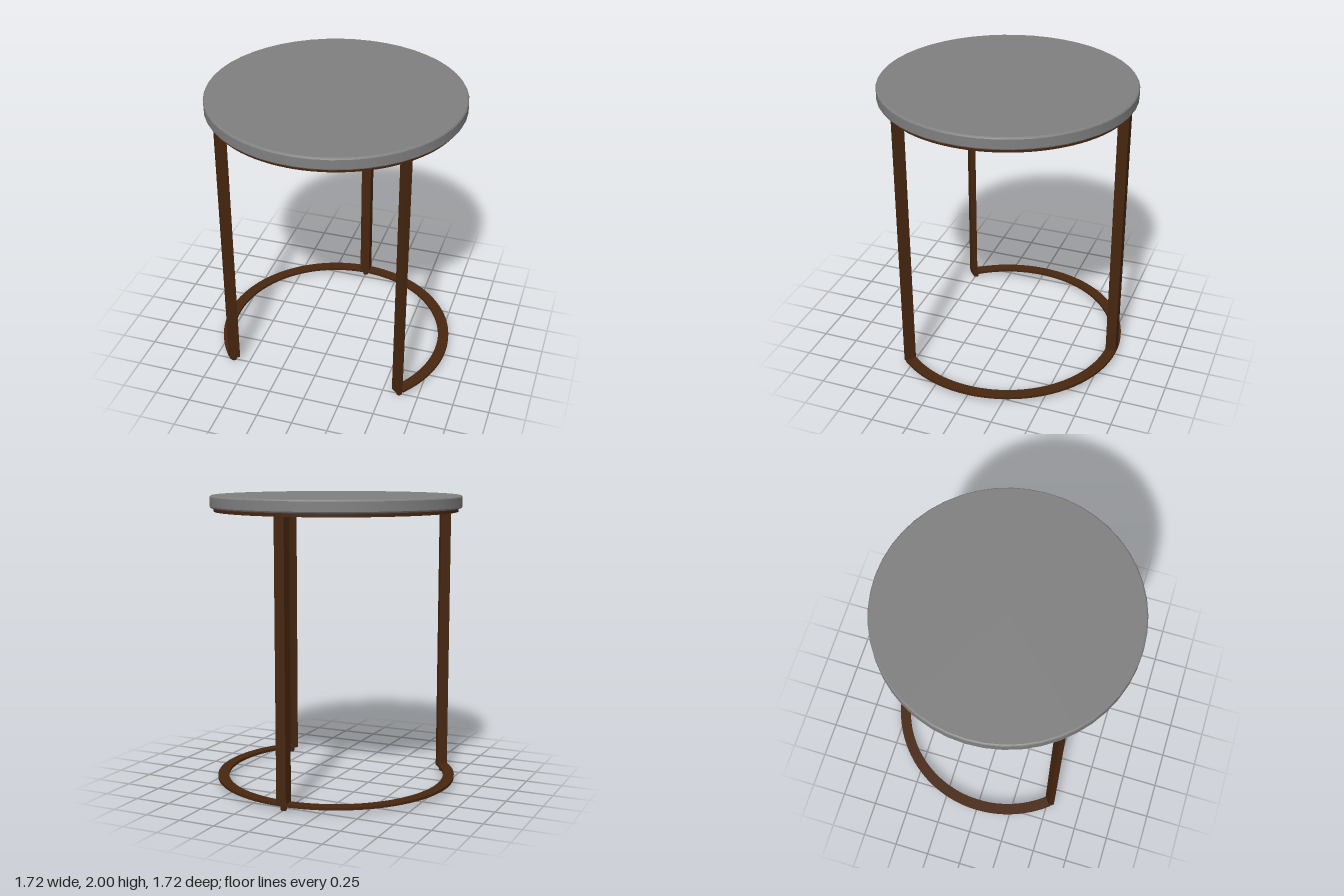
import * as THREE from 'three';
import { toCreasedNormals } from 'three/addons/utils/BufferGeometryUtils.js';

const RING_IN = 0.757, RING_OUT = 0.833, LEG_R = 0.795;
const FRONT = THREE.MathUtils.degToRad(39); // front legs, measured from the x axis

export function createModel() {
  const group = new THREE.Group();
  const stone = new THREE.MeshStandardMaterial({ color: 0x808080 });
  const bronze = new THREE.MeshStandardMaterial({ color: 0x472610 });

  const add = (name, geometry, material, parent = group) => {
    const mesh = new THREE.Mesh(geometry, material);
    mesh.name = name;
    parent.add(mesh);
    return mesh;
  };

  // Flat ring or arc lying in the horizontal plane
  const flatRing = (start, end, thickness) => {
    const shape = new THREE.Shape();
    shape.absarc(0, 0, RING_OUT, start, end, false);
    if (end - start < Math.PI * 2) {
      shape.absarc(0, 0, RING_IN, end, start, true);
    } else {
      shape.holes.push(new THREE.Path().absarc(0, 0, RING_IN, 0, Math.PI * 2, true));
    }
    const geo = new THREE.ExtrudeGeometry(shape, { depth: thickness, bevelEnabled: false, curveSegments: 48 });
    return toCreasedNormals(geo.rotateX(-Math.PI / 2), 0.6);
  };

  // Round top with a softened rim; the flat faces stay evenly shaded
  const rim = [[0, 1.915], [0.848, 1.915], [0.855, 1.919], [0.859, 1.926],
    [0.859, 1.989], [0.855, 1.996], [0.848, 2], [0, 2]].map(([r, y]) => new THREE.Vector2(r, y));
  add('tableTop', toCreasedNormals(new THREE.LatheGeometry(rim, 48), 0.3), stone);

  // Full ring under the top, open ring at the floor
  add('topRing', flatRing(0, Math.PI * 2, 0.024), bronze).position.y = 1.892;
  add('baseRing', flatRing(-FRONT, Math.PI + FRONT, 0.018), bronze).position.y = 0.035;

  // Two slim front legs and a square back leg, each turned to face outward;
  // the front bars sit slightly ahead of their feet
  const legs = [
    ['frontLeftLeg', Math.PI / 2 - FRONT, 0.038, -0.018],
    ['frontRightLeg', FRONT - Math.PI / 2, 0.038, 0.018],
    ['backLeg', Math.PI, 0.07, 0],
  ];
  for (const [name, angle, width, shift] of legs) {
    const leg = new THREE.Group();
    leg.name = name;
    leg.rotation.y = angle;
    group.add(leg);
    add('legBar', new THREE.BoxGeometry(width, 1.864, 0.072), bronze, leg).position.set(shift, 0.967, LEG_R);
    add('foot', new THREE.CylinderGeometry(0.023, 0.019, 0.038, 16), bronze, leg).position.set(0, 0.019, LEG_R);
  }
  return group;
}
